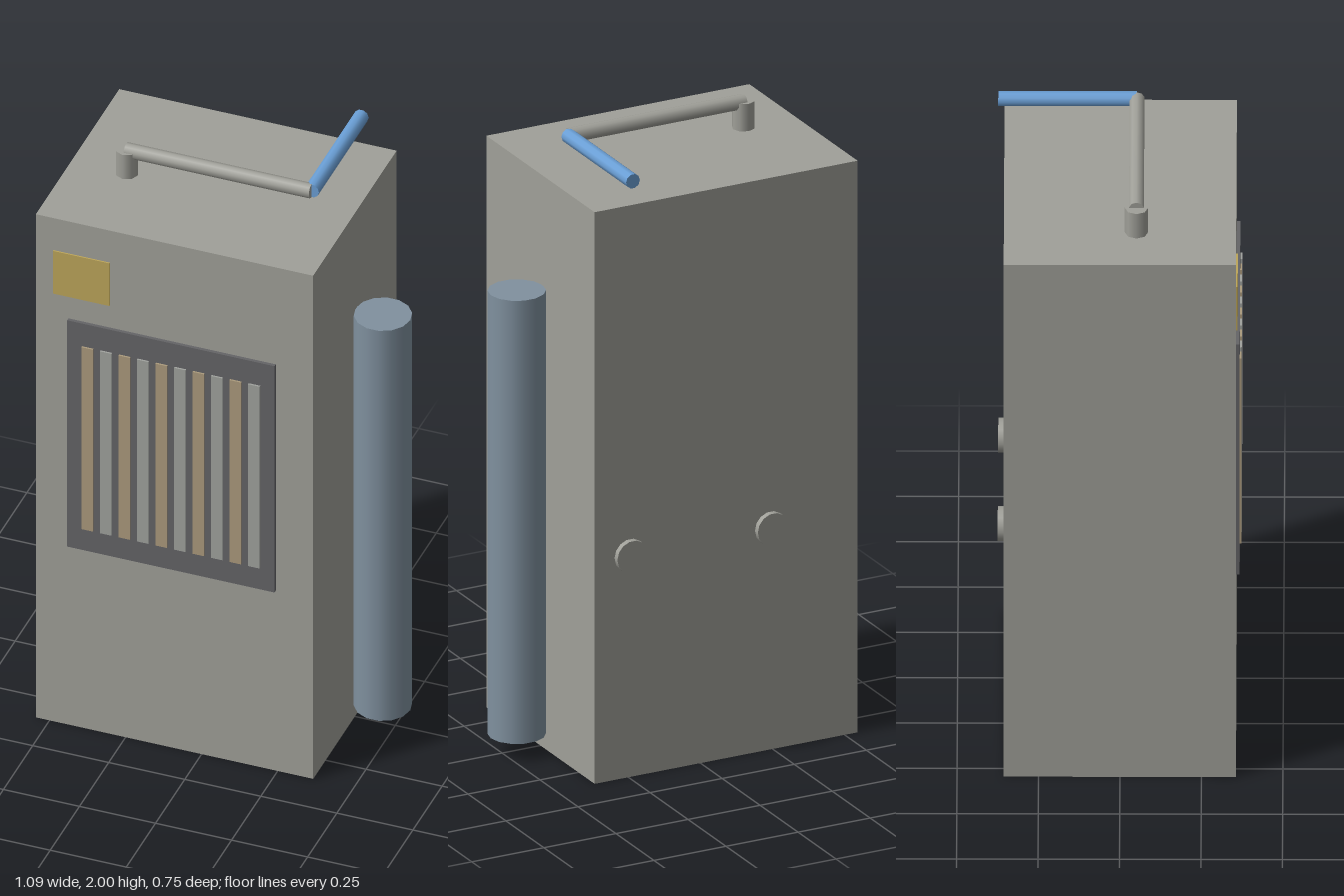
import * as THREE from 'three';

const material = (name, color) => {
  const m = new THREE.MeshStandardMaterial({ color });
  m.name = name;
  return m;
};

export function createModel() {
  const group = new THREE.Group();
  const grey = material('warm grey', 0xa0a099);
  const dark = material('dark grey', 0x646467);
  const tan = material('tan', 0xab9a7c);
  const pale = material('pale grey', 0xa0a29e);
  const yellow = material('mustard', 0xbca55a);
  const slate = material('slate blue', 0x80919f);
  const blue = material('blue', 0x6a9fd6);

  const add = (name, geometry, mat, x, y, z) => {
    const mesh = new THREE.Mesh(geometry, mat);
    mesh.name = name;
    mesh.position.set(x, y, z);
    group.add(mesh);
    return mesh;
  };
  // Box given by its limits on each axis
  const box = (name, mat, x0, x1, y0, y1, z0, z1) =>
    add(name, new THREE.BoxGeometry(x1 - x0, y1 - y0, z1 - z0), mat,
      (x0 + x1) / 2, (y0 + y1) / 2, (z0 + z1) / 2);
  // Upright cylinder with a corner pointing along +x
  const rod = (radius, length, sides) =>
    new THREE.CylinderGeometry(radius, radius, length, sides).rotateY(Math.PI / 2);

  // Cabinet
  box('cabinet', grey, -0.545, 0.367, 0, 1.89, -0.357, 0.356);

  // Front grille with alternating slats
  box('grillePanel', dark, -0.438, 0.244, 0.676, 1.526, 0.35, 0.367);
  for (let i = 0; i < 10; i++) {
    const x = -0.37 + i * 0.0609;
    box('slat' + (i + 1), i % 2 ? pale : tan, x - 0.019, x + 0.019, 0.758, 1.441, 0.364, 0.373);
  }

  // Name plate
  box('frontPlate', yellow, -0.487, -0.301, 1.61, 1.77, 0.353, 0.361);

  // Tank on the left side
  add('sideTank', rod(0.09, 1.465, 14), slate, 0.455, 0.7935, -0.011);

  // Pipework on the roof
  add('pipePost', rod(0.036, 0.1, 8), grey, -0.363, 1.93, 0.05);
  add('crossPipe', rod(0.024, 0.609, 10).rotateZ(Math.PI / 2), grey, -0.061, 1.976, 0.05);
  add('rearPipe', rod(0.024, 0.426, 10).rotateX(Math.PI / 2), blue, 0.244, 1.976, -0.163);

  // Round caps on the back
  for (const x of [-0.243, 0.244]) {
    add('backCap', rod(0.054, 0.026, 14).rotateX(Math.PI / 2), grey, x, 0.733, -0.363);
  }
  return group;
}
